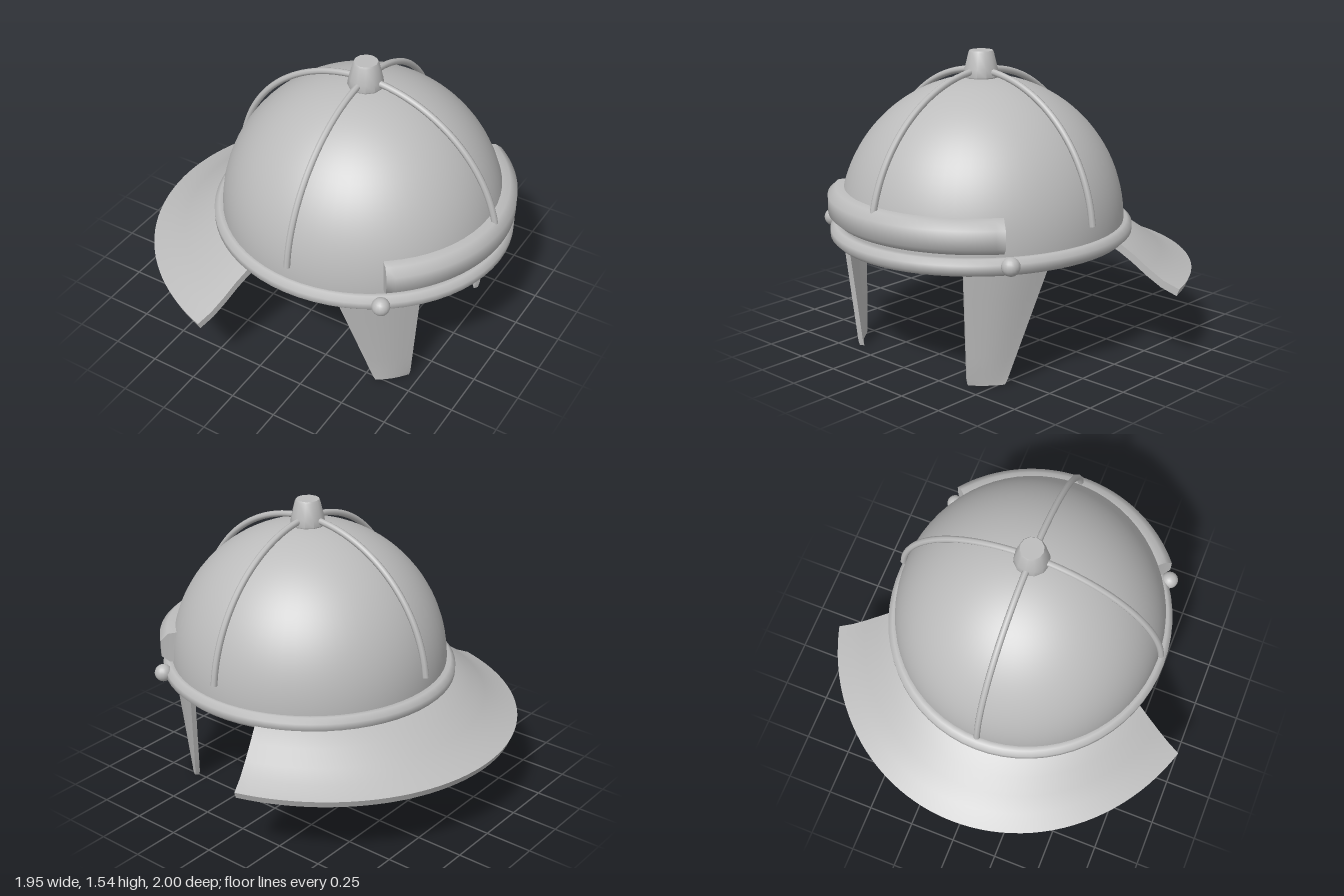
import * as THREE from 'three';
import { toCreasedNormals } from 'three/addons/utils/BufferGeometryUtils.js';

const CX = 0.177; // axis of the bowl
const steel = new THREE.MeshStandardMaterial({ color: 0xbcbcbc, side: THREE.DoubleSide });
steel.name = 'steel';

// Skin a list of equal rings; ends are closed by pairing opposite ring points.
function loft(rings, { capped = true, crease = 0.6 } = {}) {
  const n = rings[0].length, pos = [], idx = [];
  rings.forEach(ring => ring.forEach(p => pos.push(...p)));
  const quad = (a, b, c, d) => idx.push(a, b, c, a, c, d);
  for (let i = 0; i < rings.length - 1; i++) {
    for (let j = 0; j < n; j++) {
      const k = (j + 1) % n;
      quad(i * n + j, i * n + k, (i + 1) * n + k, (i + 1) * n + j);
    }
  }
  if (capped) {
    const e = (rings.length - 1) * n;
    for (let j = 0; j < n / 2 - 1; j++) {
      quad(n - 1 - j, n - 2 - j, j + 1, j);
      quad(e + j, e + j + 1, e + n - 2 - j, e + n - 1 - j);
    }
  }
  const g = new THREE.BufferGeometry();
  g.setAttribute('position', new THREE.Float32BufferAttribute(pos, 3));
  g.setIndex(idx);
  return toCreasedNormals(g, crease);
}

// Sweep a profile of [radius x, radius z, y] around the bowl axis, angles in degrees.
function sweep(profile, from, to, steps, options) {
  const rings = [];
  for (let i = 0; i <= steps; i++) {
    const t = THREE.MathUtils.degToRad(from + (to - from) * i / steps);
    rings.push(profile.map(([rx, rz, y]) => [CX + rx * Math.cos(t), y, rz * Math.sin(t)]));
  }
  return loft(rings, options);
}

export function createModel() {
  const model = new THREE.Group();
  model.name = 'helmet';
  const add = (name, geometry) => {
    const mesh = new THREE.Mesh(geometry, steel);
    mesh.name = name;
    model.add(mesh);
    return mesh;
  };

  // Open bowl
  const dome = add('dome', new THREE.SphereGeometry(1, 64, 28, 0, Math.PI * 2, 0, Math.PI * 0.515));
  dome.scale.set(0.742, 0.74, 0.724);
  dome.position.set(CX - 0.003, 0.67, 0);

  // Rounded rim
  const rim = [];
  for (let i = 0; i < 8; i++) {
    const a = (i + 0.5) * Math.PI / 4;
    const dr = 0.042 * Math.cos(a) / Math.cos(Math.PI / 8);
    rim.push([0.754 + dr, 0.721 + dr, 0.633 + 0.045 * Math.sin(a)]);
  }
  add('rim', sweep(rim, 0, 360, 64, { capped: false, crease: 0.9 }));

  // Raised brow band across the front
  const brow = [[0.72, 0.72, 0.69], [0.755, 0.745, 0.695], [0.795, 0.785, 0.73],
    [0.795, 0.785, 0.82], [0.755, 0.745, 0.855], [0.72, 0.72, 0.86]];
  // Close the band along the bowl so its hollow side stays hidden
  brow[0][0] = brow[0][1] = brow[5][0] = brow[5][1] = 0.705;
  add('browBand', sweep(brow, -52, 52, 32, { crease: 0.9 }));

  // Flared neck guard around the back
  const top = [[0.735, 0.715, 0.635], [0.8, 0.765, 0.605], [0.88, 0.825, 0.56],
    [0.97, 0.9, 0.498], [1.06, 0.975, 0.444], [1.155, 1.054, 0.408]];
  const under = top.map(([rx, rz, y], i) => [rx - 0.014, rz - 0.014, y - 0.036]).reverse();
  add('neckGuard', sweep([...under.reverse(), ...top.slice().reverse()], 108.5, 251.5, 48));

  // Crossed ridge bands over the bowl
  const arch = (name, r, alongX) => {
    const pts = [];
    for (let i = 0; i <= 32; i++) {
      const t = 0.11 + (Math.PI - 0.22) * i / 32;
      const h = r * Math.cos(t), y = 0.675 + 0.765 * Math.sin(t);
      pts.push(alongX ? new THREE.Vector3(CX + h, y, 0) : new THREE.Vector3(CX, y, h));
    }
    add(name, new THREE.TubeGeometry(new THREE.CatmullRomCurve3(pts), 64, 0.017, 8));
  };
  arch('ridgeFrontToBack', 0.77, true);
  arch('ridgeSideToSide', 0.74, false);

  // Tapered crown knob
  const crown = [[0, 1.38], [0.075, 1.38], [0.092, 1.41], [0.086, 1.45], [0.066, 1.53], [0.06, 1.54], [0, 1.54]]
    .map(([r, y]) => new THREE.Vector2(r, y));
  add('crownKnob', toCreasedNormals(new THREE.LatheGeometry(crown, 12), 0.65)).position.x = CX;

  // Cheek guards and their rivets
  for (const s of [1, -1]) {
    const side = s > 0 ? 'left' : 'right';
    const rings = [0, 0.03, 0.15, 0.3, 0.45, 0.62].map(y => {
      const v = y / 0.59, k = y === 0 ? 0.005 : 0;
      const mix = (a, b) => a + (b - a) * v;
      const rear = [mix(0.56, 0.42) + k, mix(0.52, 0.665)];
      const front = [mix(0.70, 0.755) - k, mix(0.395, 0.43)];
      const outer = [], inner = [];
      for (let i = 0; i <= 6; i++) {
        const u = i / 6, b = Math.sin(Math.PI * u) * mix(0.01, 0.035);
        const x = rear[0] + (front[0] - rear[0]) * u + 0.58 * b;
        const z = rear[1] + (front[1] - rear[1]) * u + 0.81 * b;
        outer.push([x, y, s * z]);
        inner.unshift([x - 0.014, y, s * (z - 0.02)]);
      }
      return [...outer, ...inner];
    });
    add(side + 'CheekGuard', loft(s > 0 ? rings : rings.reverse()));
    add(side + 'Rivet', new THREE.SphereGeometry(0.046, 16, 12)).position.set(0.647, 0.645, s * 0.632);
  }
  return model;
}
